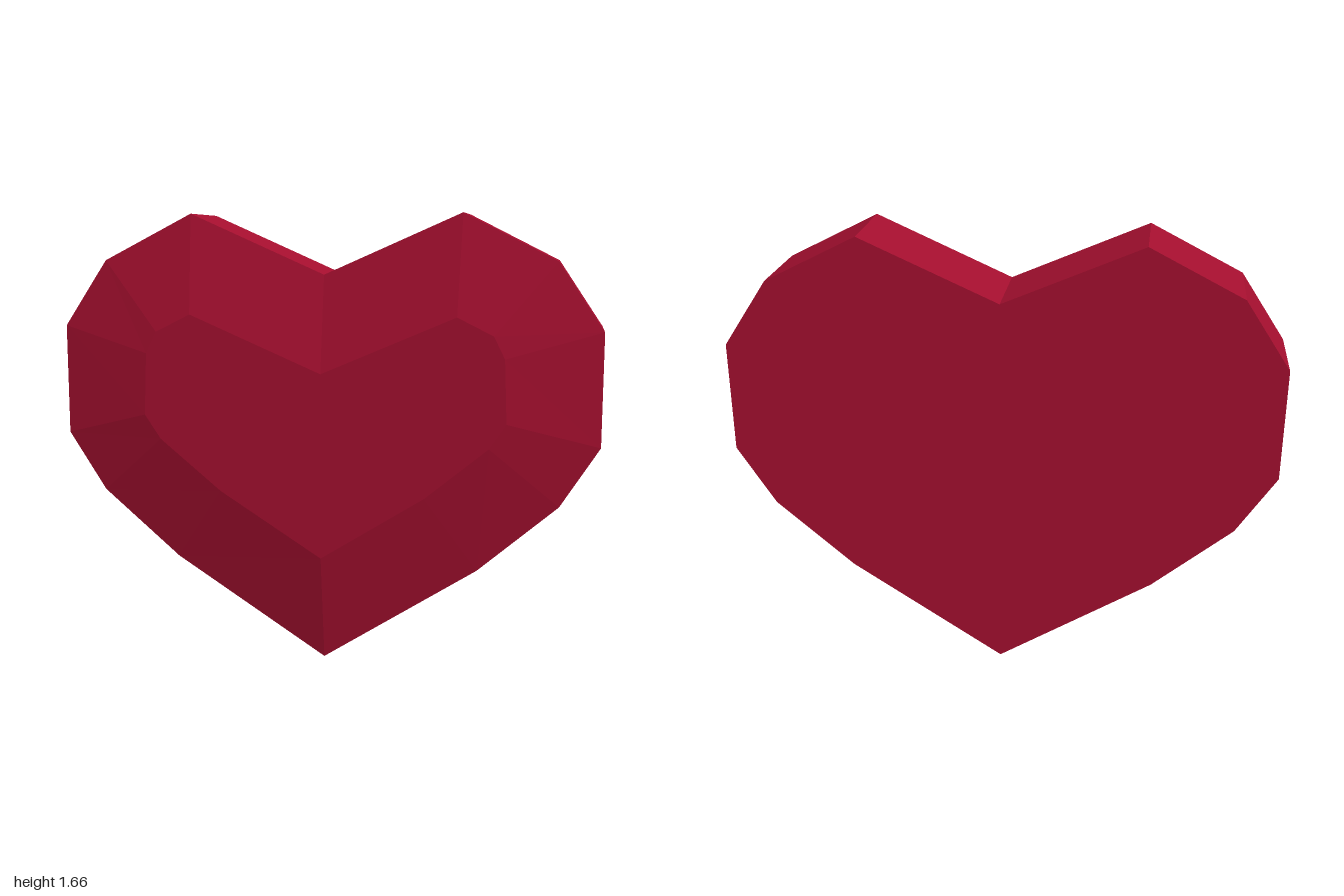
import * as THREE from 'three';

// Right halves of the outlines, from bottom tip to top notch
const OUTER = [[0, 0], [0.57, 0.365], [0.86, 0.615], [1, 0.835], [1, 1.245], [0.835, 1.49], [0.5, 1.66], [0, 1.44]];
const INNER = [[0, 0.4], [0.38, 0.64], [0.61, 0.83], [0.67, 0.92], [0.66, 1.15], [0.62, 1.23], [0.49, 1.295], [0, 1.085]];

// Mirror a half outline into a closed counter-clockwise loop
function mirrorLoop(half) {
  const left = half.slice(1, -1).reverse().map(([x, y]) => [-x, y]);
  return [...half, ...left].map(([x, y]) => new THREE.Vector2(x, y));
}

// Band of quads joining two loops; the first loop lies behind the second
function band(a, za, b, zb) {
  const pos = [];
  a.forEach((p, i) => {
    const j = (i + 1) % a.length;
    const q = a[j], r = b[j], s = b[i];
    pos.push(p.x, p.y, za, q.x, q.y, za, r.x, r.y, zb);
    pos.push(p.x, p.y, za, r.x, r.y, zb, s.x, s.y, zb);
  });
  const g = new THREE.BufferGeometry();
  g.setAttribute('position', new THREE.Float32BufferAttribute(pos, 3));
  g.computeVertexNormals();
  return g;
}

export function createModel() {
  const group = new THREE.Group();
  group.name = 'heart';
  const red = new THREE.MeshStandardMaterial({ color: 0xa50f2f, flatShading: true });
  red.name = 'deep red';
  const outer = mirrorLoop(OUTER), inner = mirrorLoop(INNER);

  const add = (name, geometry) => {
    const mesh = new THREE.Mesh(geometry, red);
    mesh.name = name;
    group.add(mesh);
    return mesh;
  };

  // Straight rim and sloping front facets
  add('rim', band(outer, -0.2, outer, 0.13));
  add('frontBevel', band(outer, 0.13, inner, 0.2));

  // Flat front and back faces
  add('frontFace', new THREE.ShapeGeometry(new THREE.Shape(inner))).position.z = 0.2;
  const back = add('backFace', new THREE.ShapeGeometry(new THREE.Shape(outer)));
  back.rotation.y = Math.PI;
  back.position.z = -0.2;

  return group;
}
